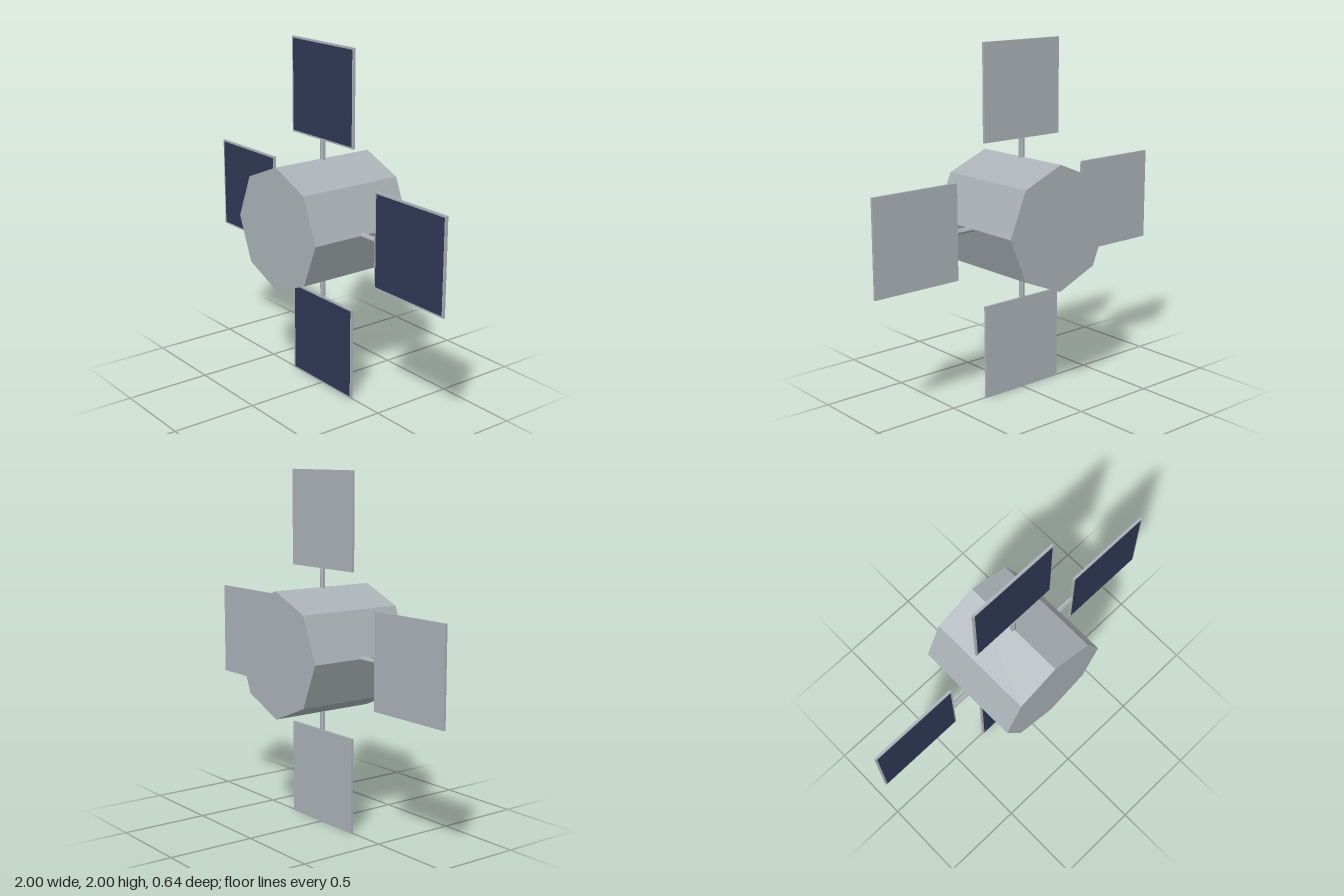
import * as THREE from 'three';

export function createModel() {
  const model = new THREE.Group();
  model.name = 'satellite';

  const metal = new THREE.MeshStandardMaterial({ color: 0xaab2b7 });
  metal.name = 'grey metal';
  metal.flatShading = true;
  const cells = new THREE.MeshStandardMaterial({ color: 0x2f3855 });
  cells.name = 'navy solar cells';

  const add = (parent, name, geometry, material, x = 0, y = 0, z = 0) => {
    const mesh = new THREE.Mesh(geometry, material);
    mesh.name = name;
    mesh.position.set(x, y, z);
    parent.add(mesh);
    return mesh;
  };

  // Octagonal body, lying along z with a corner at the top
  const body = new THREE.CylinderGeometry(0.355, 0.355, 0.64, 8).rotateX(Math.PI / 2);
  add(model, 'body', body, metal, 0, 1, 0);

  // Four identical solar wings, each a strut, a panel and its front cells
  const size = 0.54;
  const thickness = 0.014;
  const strut = new THREE.CylinderGeometry(0.016, 0.016, 0.14, 6);
  const panel = new THREE.BoxGeometry(size, size, thickness);
  const cellSheet = new THREE.BoxGeometry(size - 0.02, size - 0.02, 0.002);
  ['top', 'right', 'bottom', 'left'].forEach((side, i) => {
    const wing = new THREE.Group();
    wing.name = side + 'Wing';
    wing.position.y = 1;
    wing.rotation.z = i * -Math.PI / 2 * -1;
    add(wing, 'strut', strut, metal, 0, 0.39, 0);
    add(wing, 'panel', panel, metal, 0, 0.73, 0);
    add(wing, 'solarCells', cellSheet, cells, 0, 0.73, thickness / 2);
    model.add(wing);
  });

  return model;
}
